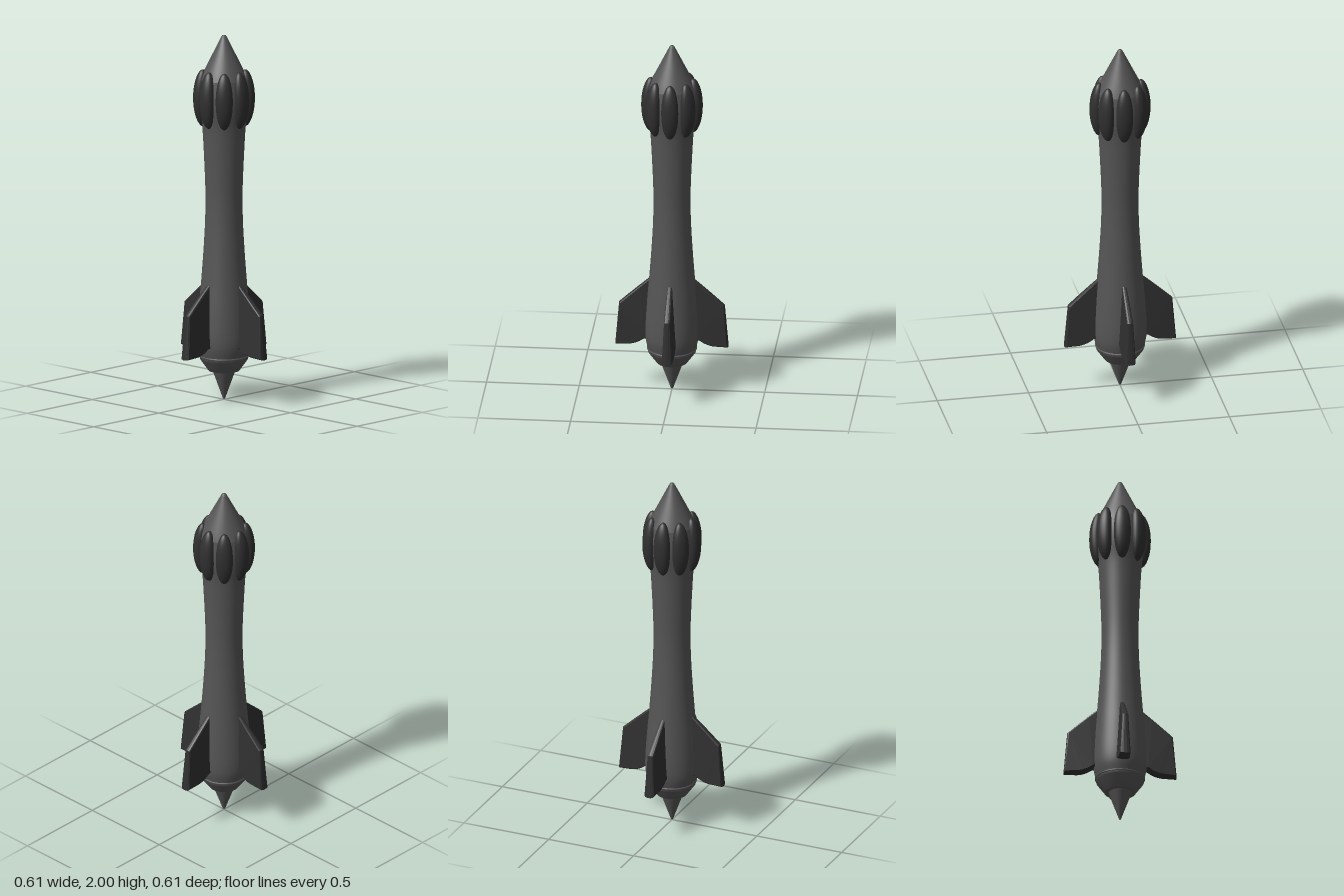
import * as THREE from 'three';

const hull = new THREE.MeshStandardMaterial({ color: 0x555555 });
hull.name = 'hull grey';
const dark = new THREE.MeshStandardMaterial({ color: 0x303030 });
dark.name = 'dark grey';

function lathe(name, points) {
  const pts = points.map(([r, y]) => new THREE.Vector2(r, y));
  const mesh = new THREE.Mesh(new THREE.LatheGeometry(pts, 48), hull);
  mesh.name = name;
  return mesh;
}

// Smooth radius profile through a few [radius, height] points
function smooth(points, n) {
  return new THREE.SplineCurve(points.map(([r, y]) => new THREE.Vector2(r, y)))
    .getPoints(n).map(p => [p.x, p.y]);
}

// Long rounded pod whose centreline follows the swollen head
function podGeometry() {
  const geo = new THREE.SphereGeometry(1, 24, 24);
  const p = geo.attributes.position;
  const full = (v, e) => Math.sign(v) * Math.pow(Math.abs(v), e);
  for (let i = 0; i < p.count; i++) {
    const y = p.getY(i);
    const radius = 0.13 - 0.016 * y * y;
    p.setXYZ(i, radius + 0.036 * full(p.getX(i), 0.85), 1.655 + 0.155 * full(y, 0.95), 0.046 * p.getZ(i));
  }
  geo.computeVertexNormals();
  return geo;
}

// Swept fin, thin at the top and thick at the trailing edge
function finGeometry() {
  const s = new THREE.Shape();
  s.moveTo(0.08, 0.31);
  s.lineTo(0.15, 0.305);
  s.quadraticCurveTo(0.19, 0.275, 0.23, 0.271);
  s.lineTo(0.297, 0.267);
  s.lineTo(0.277, 0.495);
  s.quadraticCurveTo(0.19, 0.575, 0.12, 0.635);
  s.lineTo(0.08, 0.635);
  const geo = new THREE.ExtrudeGeometry(s, {
    depth: 0.6, bevelEnabled: true, bevelThickness: 0.7, bevelSize: 0.008, bevelSegments: 2, curveSegments: 6,
  });
  geo.translate(0, 0, -0.3);
  const p = geo.attributes.position;
  for (let i = 0; i < p.count; i++) {
    const down = THREE.MathUtils.clamp((0.64 - p.getY(i)) / 0.36, 0, 1);
    const out = THREE.MathUtils.clamp((p.getX(i) - 0.15) / 0.15, 0, 1);
    p.setZ(i, p.getZ(i) * (0.012 + 0.023 * down) * (1 - 0.22 * out));
  }
  geo.computeVertexNormals();
  return geo;
}

// Place copies of a part evenly around the vertical axis
function ring(name, geo, count) {
  const group = new THREE.Group();
  group.name = name + 's';
  for (let i = 0; i < count; i++) {
    const mesh = new THREE.Mesh(geo, dark);
    mesh.name = name;
    mesh.rotation.y = (i / count) * Math.PI * 2;
    group.add(mesh);
  }
  return group;
}

export function createModel() {
  const model = new THREE.Group();
  model.name = 'rocket';

  // Waisted body, swelling at the tail and the head
  model.add(lathe('body', smooth([
    [0.13, 0.245], [0.142, 0.3], [0.143, 0.38], [0.134, 0.52], [0.122, 0.66], [0.109, 0.84],
    [0.101, 1.0], [0.1, 1.15], [0.108, 1.35], [0.117, 1.5], [0.131, 1.6], [0.134, 1.68], [0.124, 1.76],
  ], 60)));

  // Nose cone with a rounded tip
  model.add(lathe('noseCone', [
    [0.124, 1.76], [0.104, 1.81], [0.017, 1.985], [0.011, 1.996], [0, 2],
  ]));

  // Tail rim, nozzle and tail spike
  model.add(lathe('tailRim', [[0.12, 0.234], [0.133, 0.236], [0.135, 0.242], [0.13, 0.246]]));
  model.add(lathe('nozzle', [[0.083, 0.16], [0.128, 0.222], [0.13, 0.236]]));
  model.add(lathe('nozzleBase', [[0, 0.16], [0.083, 0.16]]));
  model.add(lathe('tailSpike', [[0, 0], [0.006, 0.006], [0.062, 0.161]]));

  model.add(ring('pod', podGeometry(), 8));
  model.add(ring('fin', finGeometry(), 4));
  return model;
}
